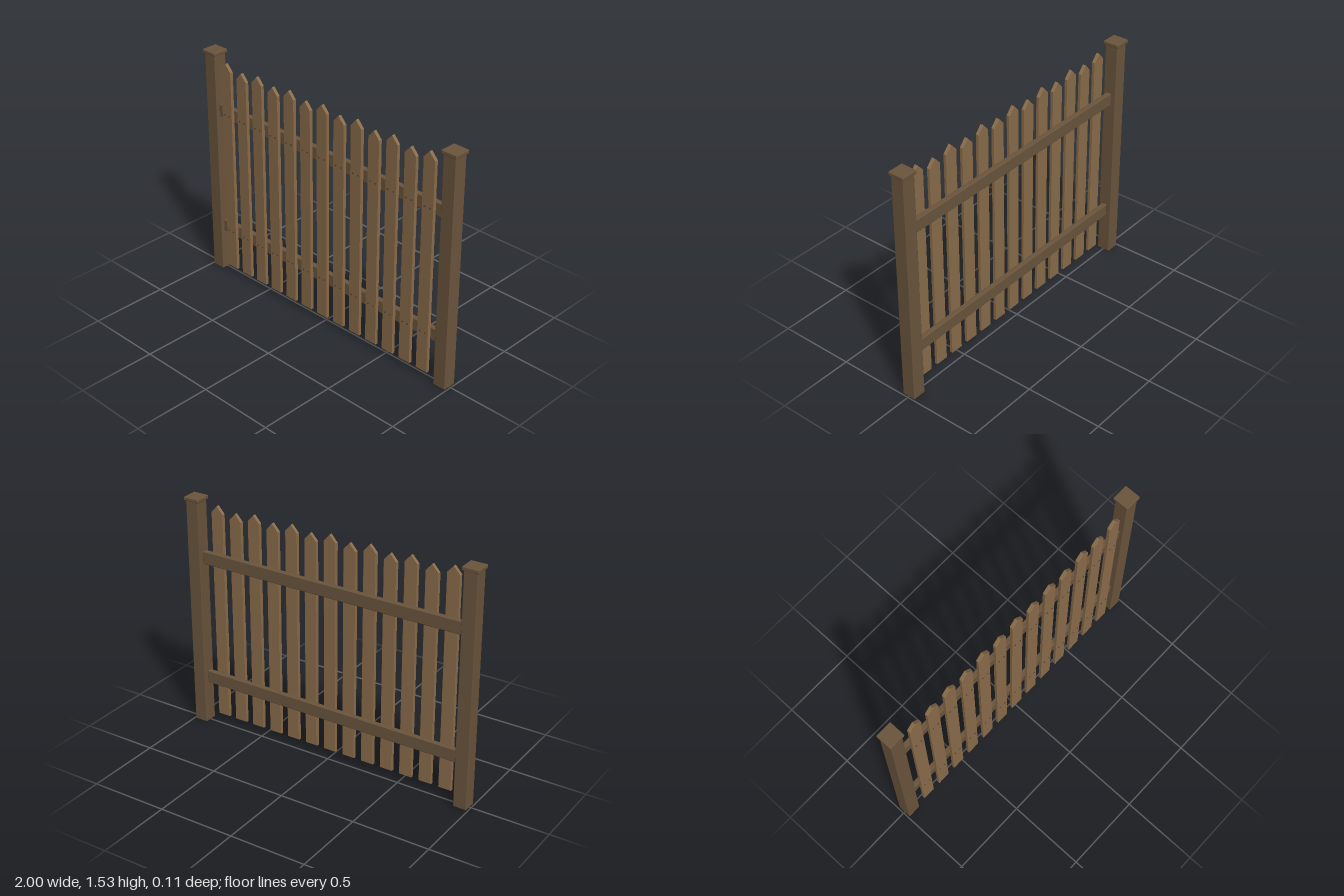
import * as THREE from 'three';
import { RoundedBoxGeometry } from 'three/addons/geometries/RoundedBoxGeometry.js';

export function createModel() {
  const fence = new THREE.Group();
  fence.name = 'picketFence';

  const mat = (name, color) => {
    const m = new THREE.MeshStandardMaterial({ color });
    m.name = name;
    return m;
  };
  const darkWood = mat('darkWood', 0x6b553d);
  const lightWood = mat('lightWood', 0x8b6d4b);
  const nailMetal = mat('nailMetal', 0x4d4034);

  const add = (name, geometry, material, x, y, z) => {
    const mesh = new THREE.Mesh(geometry, material);
    mesh.name = name;
    mesh.position.set(x, y, z);
    fence.add(mesh);
    return mesh;
  };

  // End posts with flat caps
  const postGeo = new RoundedBoxGeometry(0.088, 1.506, 0.088, 2, 0.004);
  const capGeo = new RoundedBoxGeometry(0.107, 0.024, 0.107, 2, 0.005);
  for (const [side, s] of [['left', 1], ['right', -1]]) {
    add(side + 'Post', postGeo, darkWood, s * 0.9465, 0.753, 0);
    add(side + 'PostCap', capGeo, darkWood, s * 0.9465, 1.518, 0);
  }

  // Horizontal rails
  const railHeights = [0.318, 1.14];
  const railGeo = new RoundedBoxGeometry(1.808, 0.083, 0.034, 2, 0.005);
  railHeights.forEach((y, i) => add(i ? 'upperRail' : 'lowerRail', railGeo, darkWood, 0, y, 0.004));

  // Pointed board with slightly eased edges, standing on its own origin
  const picketGeometry = (height) => {
    const b = 0.002, w = 0.0425 - b, shoulder = height - 0.048;
    const shape = new THREE.Shape();
    shape.moveTo(-w, b);
    shape.lineTo(w, b);
    shape.lineTo(w, shoulder);
    shape.lineTo(0, height - b * 1.4);
    shape.lineTo(-w, shoulder);
    shape.closePath();
    const geo = new THREE.ExtrudeGeometry(shape, {
      depth: 0.022 - 2 * b, bevelEnabled: true, bevelThickness: b, bevelSize: b, bevelSegments: 1,
    });
    return geo.translate(0, 0, b);
  };
  const tallPicket = picketGeometry(1.435);
  const shortPicket = picketGeometry(1.413);
  const nailGeo = new THREE.CylinderGeometry(0.005, 0.005, 0.006, 8).rotateX(Math.PI / 2);

  // Alternating pickets, two nails at every rail
  for (let i = 0; i < 13; i++) {
    const x = (i - 6) * 0.1347;
    add('picket' + (i + 1), i % 2 ? shortPicket : tallPicket, lightWood, x, 0.051, 0.021);
    for (const y of railHeights)
      for (const dx of [-0.02, 0.02]) add('nail', nailGeo, nailMetal, x + dx, y + 0.002, 0.0435);
  }
  return fence;
}
